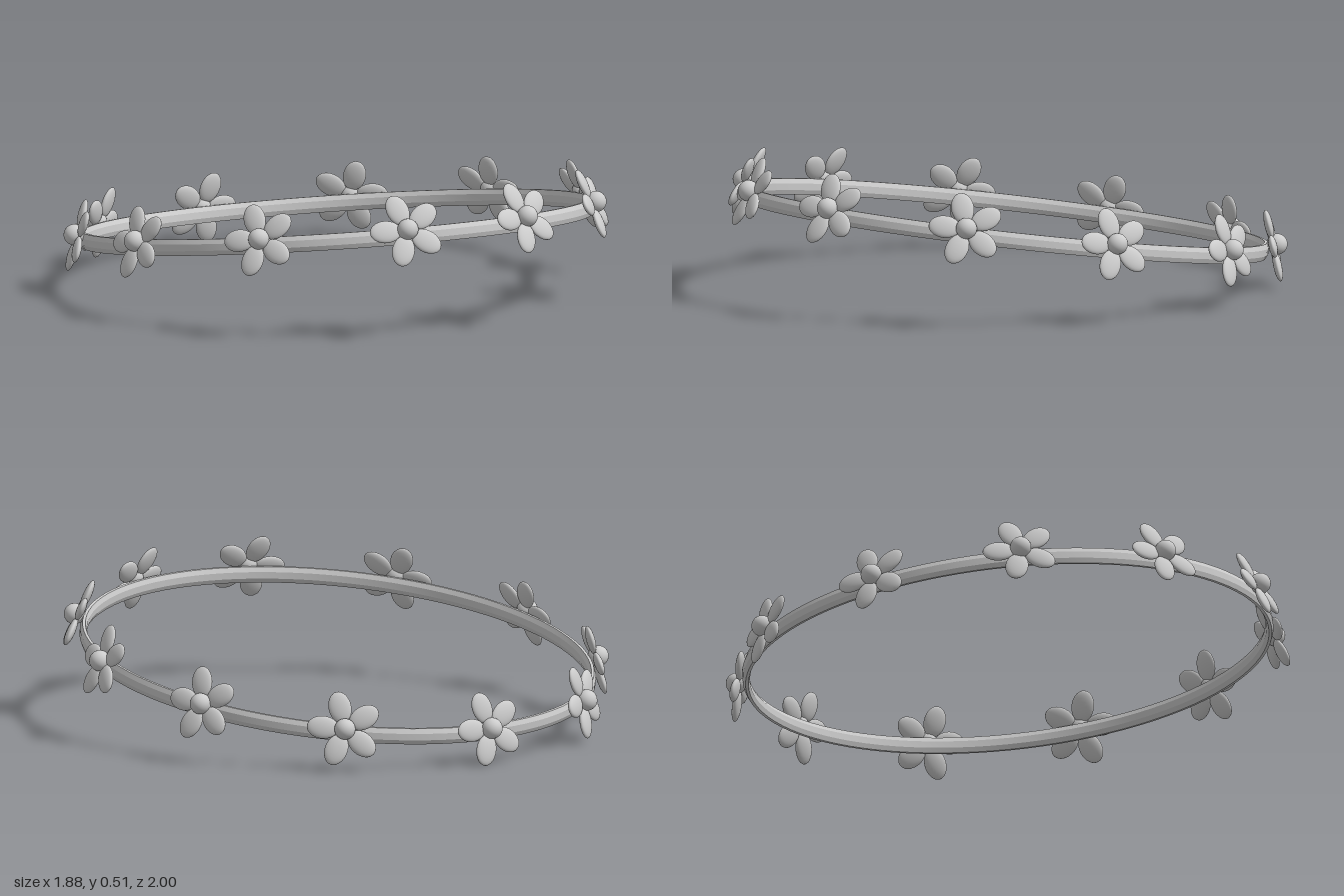
import * as THREE from 'three';
import { toCreasedNormals } from 'three/addons/utils/BufferGeometryUtils.js';

const PETALS = 5;
const RX = 0.874, RZ = 0.938;   // half axes of the oval band
const LEAN = 0.33;              // flowers tip back over the band

export function createModel() {
  const model = new THREE.Group();
  model.name = 'flowerCrown';
  const material = new THREE.MeshStandardMaterial({ color: 0xcccccc });
  material.name = 'light grey';

  // The whole crown is tilted, front edge up
  const crown = new THREE.Group();
  crown.name = 'crown';
  crown.position.set(0, 0.249, 0.013);
  crown.rotation.x = -0.143;
  model.add(crown);

  // Band: tall eight-sided section turned around the axis, stretched to an oval
  const section = [];
  for (let i = 0; i <= 8; i++) {
    const a = ((i - 0.5) / 8) * Math.PI * 2;
    section.push(new THREE.Vector2(0.9 + 0.0135 * Math.cos(a), 0.031 * Math.sin(a)));
  }
  const bandGeometry = toCreasedNormals(new THREE.LatheGeometry(section, 96), 0.3);
  bandGeometry.scale(RX / 0.9, 1, RZ / 0.9);
  const band = new THREE.Mesh(bandGeometry, material);
  band.name = 'band';
  crown.add(band);

  // Flower parts: flattened oval petal reaching along -x, and a round centre
  const petalGeometry = new THREE.SphereGeometry(1, 24, 16);
  petalGeometry.scale(0.056, 0.04, 0.015);
  petalGeometry.translate(-0.078, 0, 0);
  const centreGeometry = new THREE.SphereGeometry(0.037, 24, 16);

  function makeFlower() {
    const flower = new THREE.Group();
    flower.name = 'flower';
    for (let k = 0; k < PETALS; k++) {
      const petal = new THREE.Mesh(petalGeometry, material);
      petal.name = 'petal';
      petal.rotation.z = (k / PETALS) * Math.PI * 2;
      flower.add(petal);
    }
    const centre = new THREE.Mesh(centreGeometry, material);
    centre.name = 'flowerCentre';
    centre.position.z = 0.014;
    flower.add(centre);
    return flower;
  }

  // One flower at the back and five on each side, slightly closer at the front
  for (let i = -5; i <= 5; i++) {
    const t = Math.PI + (i / 11) * Math.PI * 2 + Math.sign(i) * 0.02;
    const facing = Math.atan2(Math.sin(t) / RX, Math.cos(t) / RZ);
    const flower = makeFlower();
    flower.rotation.set(-LEAN, facing, 0, 'YXZ');
    flower.position.set(
      RX * Math.sin(t) + 0.026 * Math.sin(facing), 0.022,
      RZ * Math.cos(t) + 0.026 * Math.cos(facing));
    crown.add(flower);
  }
  return model;
}
